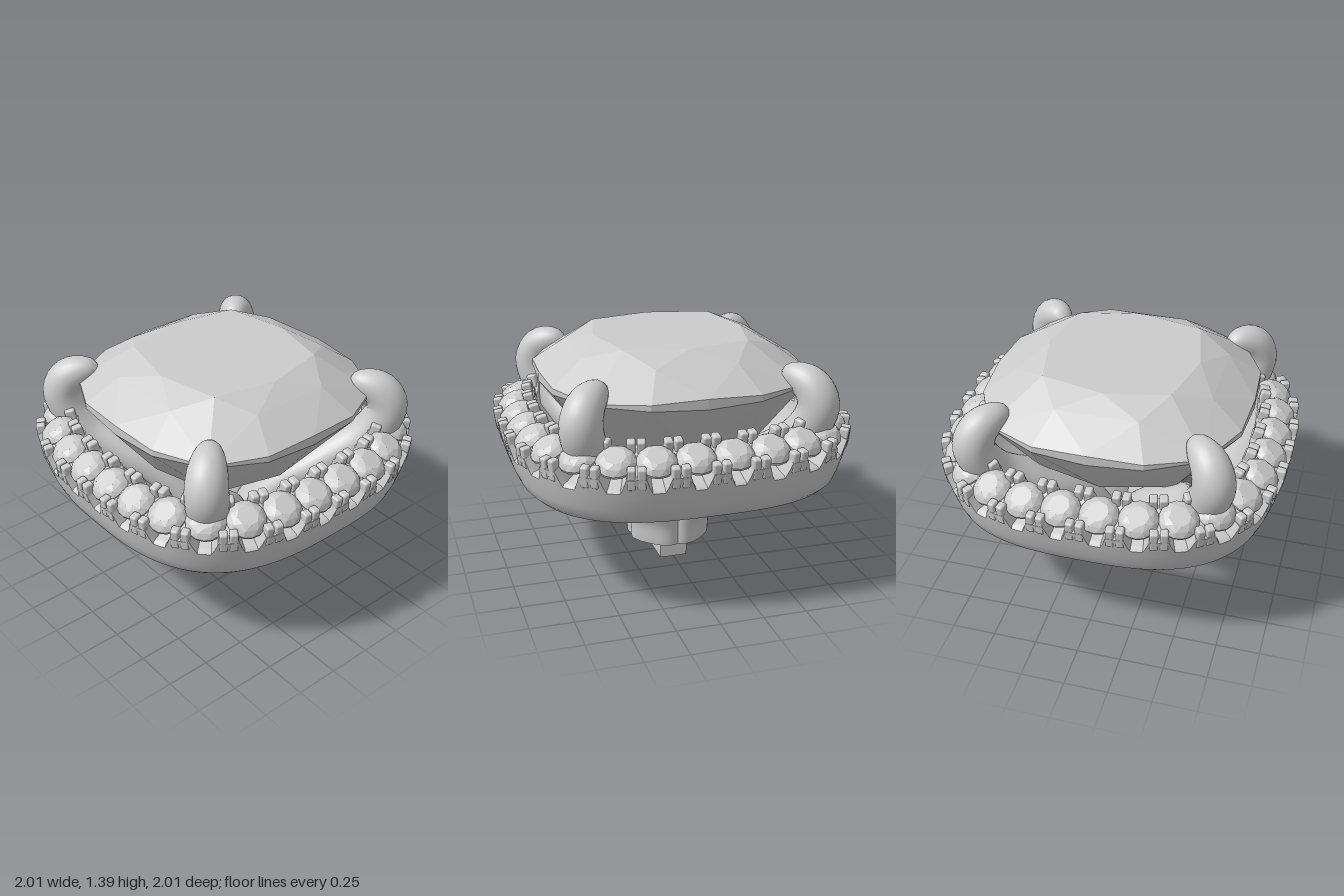
import * as THREE from 'three';
import { toCreasedNormals } from 'three/addons/utils/BufferGeometryUtils.js';
import { ConvexGeometry } from 'three/addons/geometries/ConvexGeometry.js';
import { RoundedBoxGeometry } from 'three/addons/geometries/RoundedBoxGeometry.js';

const V = (x, y, z) => new THREE.Vector3(x, y, z);
const metal = new THREE.MeshStandardMaterial({ color: 0xcccccc });
const facet = new THREE.MeshStandardMaterial({ color: 0xcccccc, flatShading: true });
const N = 2.9;        // squareness of the cushion outline
const STONES = 28;

function mesh(name, geometry, material = metal) {
  const m = new THREE.Mesh(geometry, material);
  m.name = name;
  return m;
}

// Skin over a list of closed cross-sections
function loft(rows, closed, crease) {
  const n = rows[0].length, index = [];
  const last = closed ? rows.length : rows.length - 1;
  for (let i = 0; i < last; i++) {
    for (let j = 0; j < n; j++) {
      const k = (i + 1) % rows.length, l = (j + 1) % n;
      const a = i * n + j, b = i * n + l, c = k * n + j, d = k * n + l;
      index.push(a, c, b, b, c, d);
    }
  }
  const g = new THREE.BufferGeometry().setFromPoints(rows.flat());
  g.setIndex(index);
  return toCreasedNormals(g, crease);
}

// Cushion outline: point at a polar angle
function cushion(angle, size, y) {
  const c = Math.cos(angle), s = Math.sin(angle);
  const r = size / Math.pow(Math.abs(c) ** N + Math.abs(s) ** N, 1 / N);
  return V(r * c, y, r * s);
}

// Evenly spaced points and outward normals along the halo's centre line
const path = [], lengths = [0];
for (let i = 0; i <= 2400; i++) {
  path.push(cushion((i / 2400) * Math.PI * 2, 0.88, 0));
  if (i) lengths.push(lengths[i - 1] + path[i].distanceTo(path[i - 1]));
}
function haloFrame(t) {
  const target = (t % 1) * lengths[2400];
  let i = lengths.findIndex((l) => l >= target);
  i = Math.max(i, 1);
  const f = (target - lengths[i - 1]) / (lengths[i] - lengths[i - 1]);
  const p = path[i - 1].clone().lerp(path[i], f);
  const g = (v) => Math.sign(v) * Math.abs(v) ** (N - 1);
  return { p, n: V(g(p.x), 0, g(p.z)).normalize() };
}

// Halo band whose rim dips into a notch under every stone
function haloGeometry() {
  const rows = [], steps = STONES * 14;
  for (let i = 0; i < steps; i++) {
    const { p, n } = haloFrame(i / steps);
    const d = Math.abs(((i % 14) / 14) - 0.5);
    const notch = 1 - THREE.MathUtils.smoothstep(d, 0.15, 0.29);
    const mix = (a, b) => a + (b - a) * notch;
    const rim = mix(0.875, 0.79);
    const profile = [
      [-0.24, 0.592], [-0.02, 0.585], [0.01, 0.592], [0.04, 0.62], [0.065, 0.68], [0.09, 0.76],
      [0.09 + (rim - 0.76) * 0.25, rim], [0.085, rim + 0.015],
      [0.055, mix(0.9, 0.81)], [0, mix(0.925, 0.83)], [-0.06, mix(0.95, 0.86)],
      [-0.09, mix(0.975, 0.92)], [-0.125, mix(0.975, 0.92)],
      [-0.135, 0.84], [-0.24, 0.72], [-0.32, 0.65], [-0.32, 0.615],
    ].reverse();
    rows.push(profile.map(([o, y]) => V(p.x + n.x * o, y, p.z + n.z * o)));
  }
  return loft(rows, true, 0.75);
}

// Place an object on the halo: local y tilts outward, local z points outward
function seat(object, t, offset, y, tilt, shift = 0) {
  const { p, n } = haloFrame(t);
  const up = V(0, Math.cos(tilt), 0).addScaledVector(n, Math.sin(tilt));
  const out = V(0, -Math.sin(tilt), 0).addScaledVector(n, Math.cos(tilt));
  const side = up.clone().cross(out);
  object.quaternion.setFromRotationMatrix(new THREE.Matrix4().makeBasis(side, up, out));
  object.position.copy(p).addScaledVector(n, offset).addScaledVector(side, shift);
  object.position.y = y;
  return object;
}

// Centre stone: table, star points, girdle, pavilion and culet
function centreStoneGeometry() {
  const pts = [V(0, 0.48, 0)];
  for (let k = 0; k < 8; k++) {
    const a = (k * Math.PI) / 4, b = a + Math.PI / 8;
    const r = k % 2 ? 0.51 : 0.44;
    pts.push(V(r * Math.cos(a), 1.39, r * Math.sin(a)));
    const s = cushion(b, 0.575, 1.323);
    pts.push(s, cushion(a, 0.5, 0.8));
  }
  for (let k = 0; k < 16; k++) {
    const a = (k * Math.PI) / 8;
    const wave = 0.012 * Math.cos(4 * a);
    pts.push(cushion(a, 0.76, 1.19 + wave), cushion(a, 0.76, 1.155 - wave));
  }
  return new ConvexGeometry(pts);
}

// Small round halo stone
function haloStoneGeometry() {
  const pts = [V(0, -0.09, 0)];
  for (let k = 0; k < 8; k++) {
    const a = (k * Math.PI) / 4, b = a + Math.PI / 8;
    pts.push(V(0.058 * Math.cos(a), 0.052, 0.058 * Math.sin(a)));
    pts.push(V(0.088 * Math.cos(b), 0.036, 0.088 * Math.sin(b)));
    for (const y of [0.008, -0.006]) {
      pts.push(V(0.108 * Math.cos(a), y, 0.108 * Math.sin(a)));
      pts.push(V(0.108 * Math.cos(b), y, 0.108 * Math.sin(b)));
    }
  }
  return new ConvexGeometry(pts);
}

// Strut that rises from the stem, flares out and hooks over the stone as a claw
function prongGeometry() {
  const R2 = Math.SQRT2;
  const curve = new THREE.CatmullRomCurve3([
    [0.098, 0.125], [0.11, 0.28], [0.165, 0.43], [0.28, 0.59], [0.43, 0.73], [0.57, 0.85],
    [0.645, 0.98], [0.667, 1.09], [0.635, 1.18], [0.57, 1.225], [0.505, 1.235],
  ].map(([d, y]) => V(d * R2, y, 0)));
  const rows = [], steps = 60, sides = 28;
  for (let i = 0; i <= steps; i++) {
    const u = i / steps, c = curve.getPointAt(u), t = curve.getTangentAt(u);
    const blend = THREE.MathUtils.smoothstep(u, 0.4, 0.65);
    const taper = Math.sqrt(Math.max(0, 1 - THREE.MathUtils.clamp((u - 0.78) / 0.22, 0, 1) ** 2.2));
    const wide = (0.16 + (0.118 - 0.16) * blend) * taper;
    const deep = (0.1 + (0.118 - 0.1) * blend) * taper;
    const power = 0.82 + 0.18 * blend;
    const bend = (v) => Math.sign(v) * Math.abs(v) ** power;
    const row = [];
    for (let j = 0; j < sides; j++) {
      const a = (j / sides) * Math.PI * 2;
      const r = bend(Math.cos(a)) * deep;
      row.push(V(c.x + t.y * r, c.y - t.x * r, bend(Math.sin(a)) * wide));
    }
    if (i === 0) {
      row.forEach((p) => { p.y = 0.125; });
      rows.push(row.map(() => c.clone()));  // flat foot
    }
    rows.push(row);
  }
  return loft(rows, false, 0.9);
}

export function createModel() {
  const model = new THREE.Group();
  model.name = 'cushionHaloSetting';
  model.add(mesh('haloBand', haloGeometry()));
  model.add(mesh('centreStone', centreStoneGeometry(), facet));

  // Halo stones with split claws between them
  const stones = new THREE.Group(), claws = new THREE.Group();
  stones.name = 'haloStones';
  claws.name = 'haloClaws';
  const stone = haloStoneGeometry();
  const outer = new RoundedBoxGeometry(0.046, 0.12, 0.055, 2, 0.012);
  const inner = new RoundedBoxGeometry(0.046, 0.085, 0.06, 2, 0.012);
  for (let i = 0; i < STONES; i++) {
    stones.add(seat(mesh('haloStone', stone, facet), (i + 0.5) / STONES, 0.0, 0.925, 0.5));
    for (const side of [-1, 1]) {
      claws.add(seat(mesh('outerClaw', outer), i / STONES, 0.09, 0.875, 0.12, side * 0.027));
      claws.add(seat(mesh('innerClaw', inner), i / STONES, -0.085, 0.98, 0.2, side * 0.027));
    }
  }
  model.add(stones, claws);

  // Four corner prongs meeting in the stem
  const prong = prongGeometry();
  for (let k = 0; k < 4; k++) {
    const m = mesh('prong', prong);
    m.rotation.y = Math.PI / 4 + (k * Math.PI) / 2;
    model.add(m);
  }

  // Peg under the stem
  const peg = mesh('peg', new THREE.BoxGeometry(0.26, 0.16, 0.165));
  peg.position.y = 0.08;
  model.add(peg);
  return model;
}
